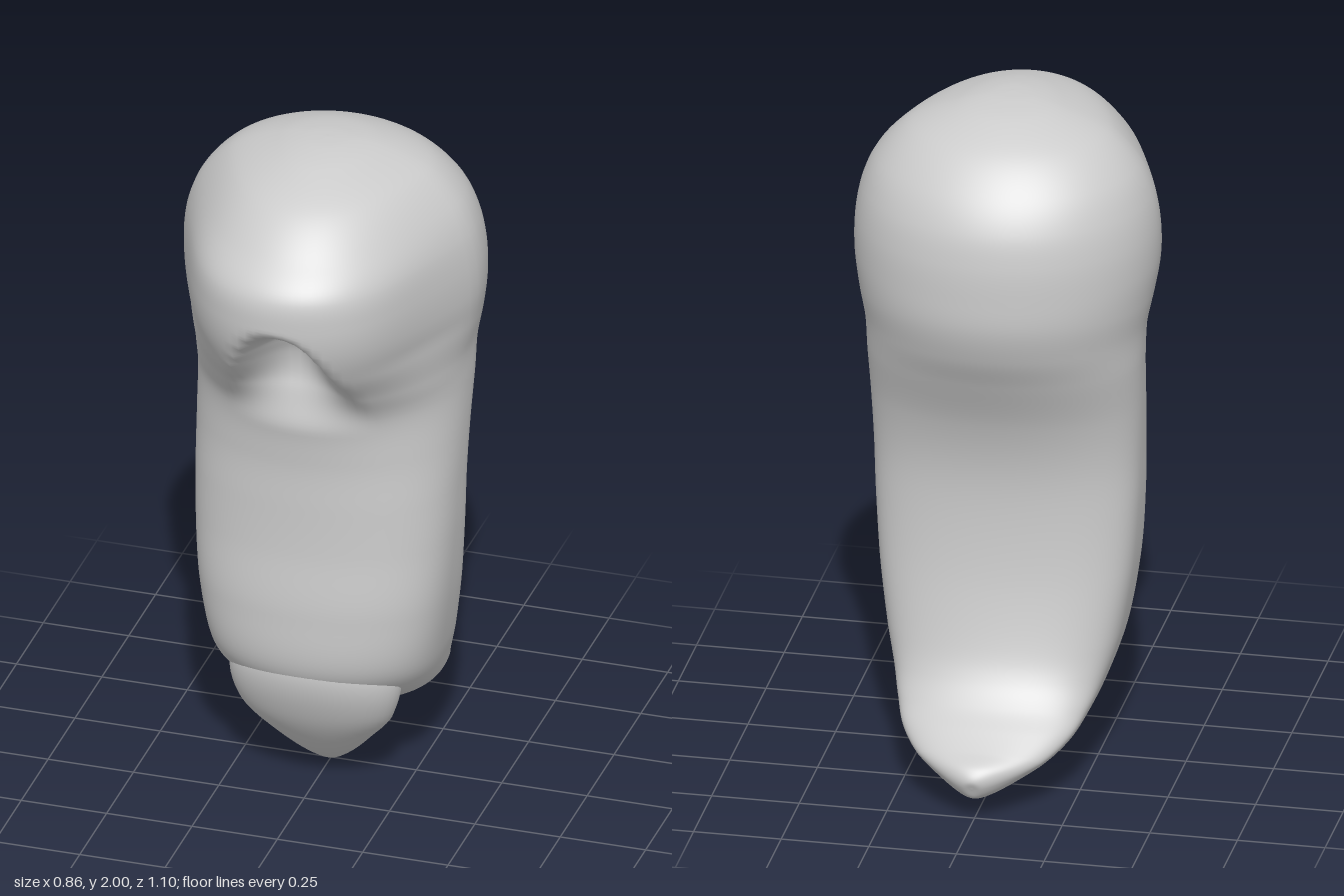
import * as THREE from 'three';

const { clamp, smoothstep } = THREE.MathUtils;
const grey = new THREE.MeshStandardMaterial({ color: 0xcccccc, side: THREE.DoubleSide });

// Lofts rings [frontZ, frontY, backZ, backY, halfWidth, roundness] from top to bottom.
// Roundness 1 is an ellipse, less is boxier.
function loft(name, rings, widest, shape, sub = 10, cols = 96) {
  const front = new THREE.CatmullRomCurve3(rings.map(r => new THREE.Vector3(r[4], r[1], r[0])));
  const back = new THREE.CatmullRomCurve3(rings.map(r => new THREE.Vector3(r[5] ?? 1, r[3], r[2])));
  const rows = (rings.length - 1) * sub;
  const pos = [], index = [];
  for (let i = 0; i <= rows; i++) {
    const f = front.getPoint(i / rows), b = back.getPoint(i / rows);
    const w = Math.max(0, f.x), roundness = b.x;
    f.x = b.x = 0;
    const mid = f.clone().lerp(b, widest);
    for (let j = 0; j < cols; j++) {
      const a = (j / cols) * Math.PI * 2, c = Math.cos(a);
      const p = mid.clone().lerp(c > 0 ? f : b, Math.abs(c) ** roundness);
      p.x = w * Math.sin(a);
      if (shape) shape(p);
      pos.push(p.x, p.y, p.z);
      if (i < rows) {
        const k = (j + 1) % cols, t = i * cols, u = t + cols;
        index.push(t + j, u + j, u + k, t + j, u + k, t + k);
      }
    }
  }
  const g = new THREE.BufferGeometry();
  g.setAttribute('position', new THREE.Float32BufferAttribute(pos, 3));
  g.setIndex(index);
  g.computeVertexNormals();
  const mesh = new THREE.Mesh(g, grey);
  mesh.name = name;
  return mesh;
}

// Narrows the head towards the beak and hollows an arch under the overhang
function shapeBeak(p) {
  if (p.z < 0 || p.y < 1.2) return;
  p.x *= 1 - 0.1 * Math.sin(Math.PI * clamp(p.z / 0.55, 0, 1)) * smoothstep(p.y, 1.3, 1.5);
  if (p.y > 1.64) return;
  const arch = 0.21 * Math.sqrt((1.66 - p.y) / 0.36);
  const r = Math.min(1, Math.abs(p.x) / arch);
  const depth = 0.21 * smoothstep(p.y, 1.2, 1.48) * (1 - smoothstep(p.y, 1.51, 1.64));
  p.z -= depth * (1 - r * r) ** 1.5;
}

export function createModel() {
  const group = new THREE.Group();
  group.name = 'figure';

  // Head, trunk and the tail that sweeps backwards to a blunt point
  group.add(loft('body', [
    [0.03, 2.0, 0.03, 2.0, 0],
    [0.10, 1.996, -0.04, 1.996, 0.07],
    [0.20, 1.977, -0.14, 1.977, 0.155],
    [0.35, 1.92, -0.26, 1.92, 0.29],
    [0.46, 1.83, -0.35, 1.83, 0.375],
    [0.54, 1.74, -0.40, 1.74, 0.415],
    [0.55, 1.65, -0.42, 1.65, 0.43],
    [0.535, 1.55, -0.425, 1.55, 0.43],
    [0.49, 1.45, -0.42, 1.45, 0.415],
    [0.405, 1.35, -0.39, 1.35, 0.395],
    [0.33, 1.25, -0.34, 1.25, 0.39, 0.95],
    [0.30, 1.10, -0.27, 1.10, 0.385, 0.85],
    [0.295, 0.95, -0.23, 0.95, 0.38, 0.75],
    [0.295, 0.80, -0.22, 0.80, 0.375, 0.68],
    [0.305, 0.60, -0.235, 0.60, 0.36, 0.62],
    [0.28, 0.40, -0.275, 0.42, 0.33, 0.62],
    [0.14, 0.27, -0.31, 0.34, 0.30, 0.7],
    [-0.05, 0.19, -0.36, 0.28, 0.27, 0.8],
    [-0.22, 0.135, -0.42, 0.235, 0.235, 0.9],
    [-0.36, 0.095, -0.48, 0.195, 0.175],
    [-0.47, 0.065, -0.53, 0.165, 0.085],
    [-0.52, 0.075, -0.548, 0.135, 0.03],
    [-0.54, 0.11, -0.54, 0.11, 0],
  ], 0.6, shapeBeak));

  // Pointed leaf-shaped flap continuing the front of the trunk
  group.add(loft('frontFlap', [
    [0.24, 0.58, 0.02, 0.56, 0.18],
    [0.283, 0.40, 0.06, 0.36, 0.25],
    [0.24, 0.255, 0.07, 0.23, 0.22],
    [0.15, 0.125, 0.03, 0.16, 0.15],
    [0.06, 0.04, -0.035, 0.10, 0.09],
    [-0.005, 0.005, -0.05, 0.05, 0.03],
    [-0.03, 0.015, -0.03, 0.015, 0],
  ], 0.65, null, 6, 48));

  return group;
}
